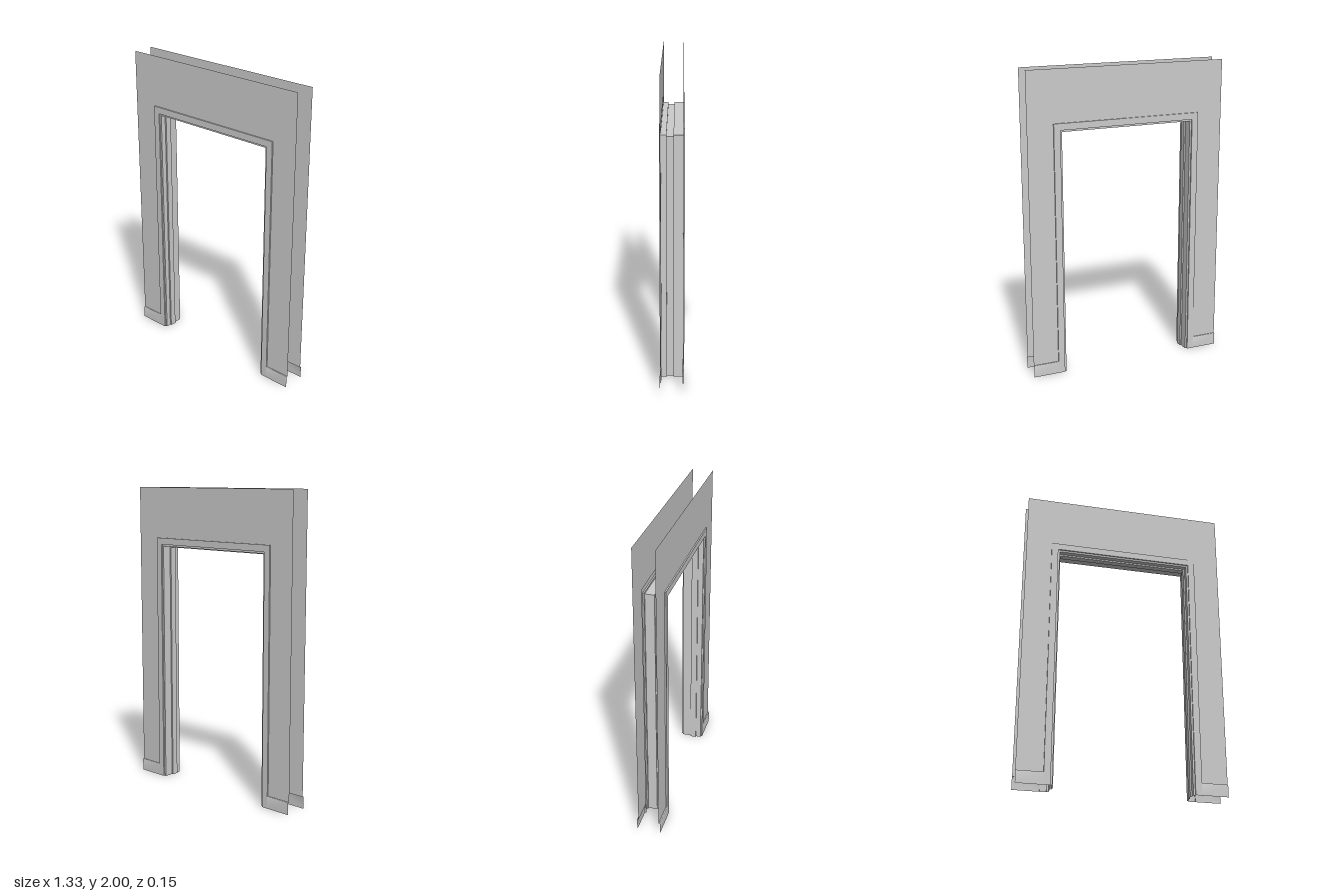
import * as THREE from 'three';

const HALF_W = 0.665, HEIGHT = 2, RISE = 1.17; // an opening of half-width w is w + RISE tall
const WALL_Z = 0.068, FACE_Z = 0.077;          // wall sheet and trim face
const CASING_OUT = 0.495, CASING_IN = 0.452, JAMB = 0.44, STOP = 0.43;
const BASE_H = 0.08;

const flat = new THREE.MeshStandardMaterial({ color: 0xcccccc, flatShading: true, side: THREE.DoubleSide });
const smooth = new THREE.MeshStandardMaterial({ color: 0xcccccc, side: THREE.DoubleSide });

// Skin a grid of points: rows follow the profile, columns follow the path
function skin(rows) {
  const cols = rows[0].length, index = [];
  for (let i = 0; i < rows.length - 1; i++) {
    for (let j = 0; j < cols - 1; j++) {
      const a = i * cols + j, b = a + cols;
      index.push(a, b, a + 1, b, b + 1, a + 1);
    }
  }
  const geometry = new THREE.BufferGeometry();
  geometry.setAttribute('position', new THREE.Float32BufferAttribute(rows.flat(2), 3));
  geometry.setIndex(index);
  geometry.computeVertexNormals();
  return geometry;
}

// Carry a [half-width, z] profile up one leg, across the head and down the other, mitred
function frameAround(profile) {
  return skin(profile.map(([w, z]) => [
    [-w, 0, z], [-w, w + RISE, z], [w, w + RISE, z], [w, 0, z],
  ]));
}

function add(parent, name, geometry, material) {
  const mesh = new THREE.Mesh(geometry, material);
  mesh.name = name;
  parent.add(mesh);
}

// One face of the wall: sheet, door casing and skirting
function wallFace(name) {
  const group = new THREE.Group();
  group.name = name;

  // Sheet with the doorway cut out, ending on top of the skirting
  const head = CASING_OUT + RISE;
  const outline = [
    [-HALF_W, BASE_H], [-CASING_OUT, BASE_H], [-CASING_OUT, head], [CASING_OUT, head],
    [CASING_OUT, BASE_H], [HALF_W, BASE_H], [HALF_W, HEIGHT], [-HALF_W, HEIGHT],
  ].map(([x, y]) => new THREE.Vector2(x, y));
  const sheet = new THREE.ShapeGeometry(new THREE.Shape(outline));
  sheet.translate(0, 0, WALL_Z);
  add(group, 'wallSheet', sheet, flat);

  // Raised casing around the doorway
  add(group, 'doorCasing', frameAround([
    [CASING_OUT, WALL_Z], [CASING_OUT, FACE_Z], [CASING_IN, FACE_Z], [CASING_IN, WALL_Z],
  ]), flat);

  // Skirting on each side, softly shaded over its top edge
  for (const [side, x0, x1] of [['right', -HALF_W, -CASING_OUT], ['left', CASING_OUT, HALF_W]]) {
    const profile = [[BASE_H, WALL_Z], [BASE_H, FACE_Z], [0, FACE_Z]];
    add(group, side + 'Skirting', skin(profile.map(([y, z]) => [[x0, y, z], [x1, y, z]])), smooth);
  }
  return group;
}

export function createModel() {
  const model = new THREE.Group();
  model.name = 'doorway';

  const front = wallFace('frontWall');
  const back = wallFace('backWall');
  back.rotation.y = Math.PI;
  model.add(front, back);

  // Jamb lining with its raised door stop
  add(model, 'jambAndStop', frameAround([
    [CASING_IN, WALL_Z], [JAMB, WALL_Z], [JAMB, 0.034], [STOP, 0.034],
    [STOP, -0.008], [JAMB, -0.008], [JAMB, -WALL_Z], [CASING_IN, -WALL_Z],
  ]), flat);

  return model;
}
